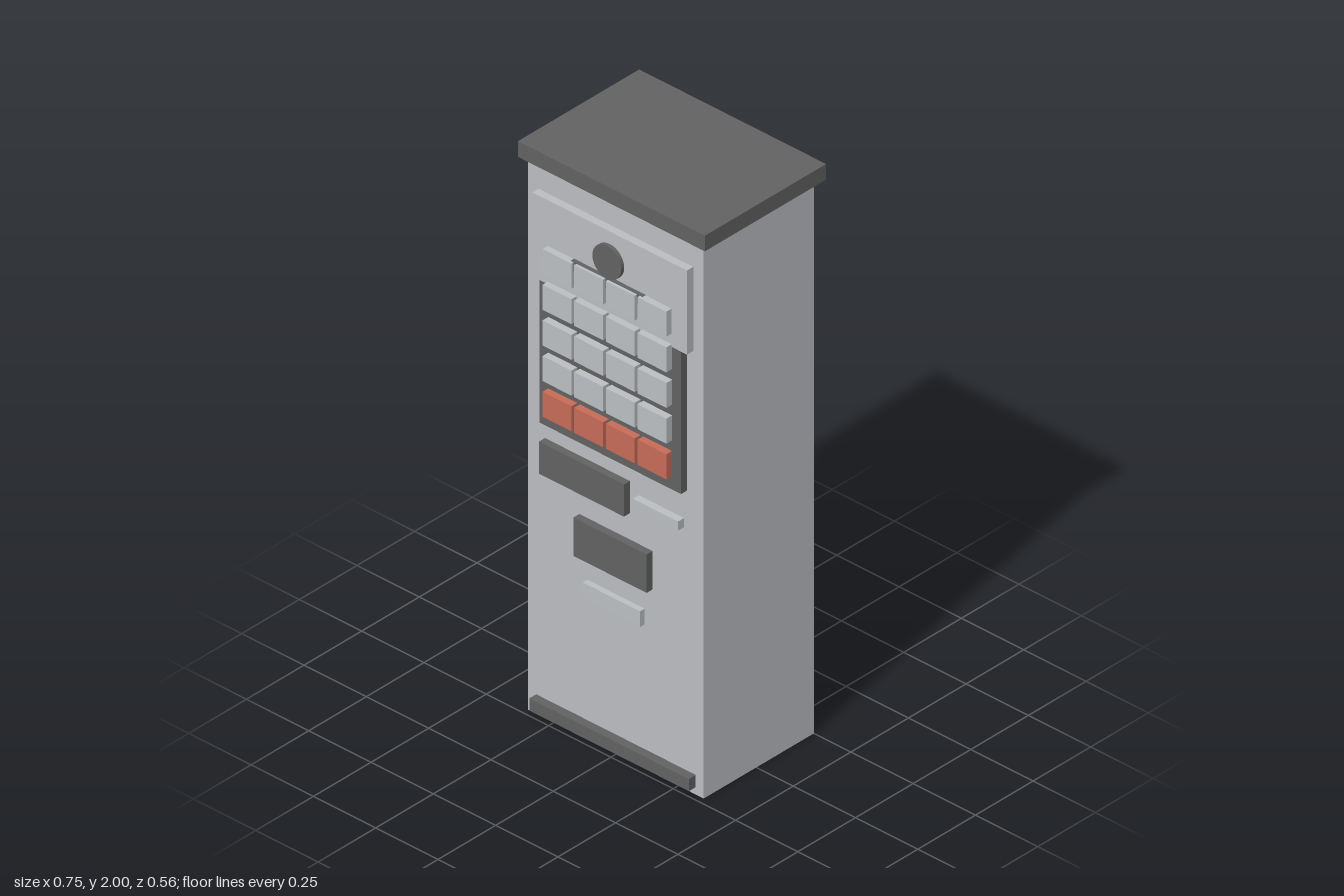
import * as THREE from 'three';

export function createModel() {
  const mat = (name, color) => {
    const m = new THREE.MeshStandardMaterial({ color });
    m.name = name;
    return m;
  };
  const body = mat('cabinetGrey', 0xbcbdc2);
  const pale = mat('buttonGrey', 0xbbc0c2);
  const dark = mat('charcoal', 0x626263);
  const red = mat('brickRed', 0xc66c58);

  const model = new THREE.Group();
  model.name = 'ticketMachine';

  // Box given by its limits on each axis
  const box = (name, material, x0, x1, y0, y1, z0, z1, parent = model) => {
    const mesh = new THREE.Mesh(new THREE.BoxGeometry(x1 - x0, y1 - y0, z1 - z0), material);
    mesh.position.set((x0 + x1) / 2, (y0 + y1) / 2, (z0 + z1) / 2);
    mesh.name = name;
    parent.add(mesh);
    return mesh;
  };

  // Cabinet and overhanging lid
  const front = 0.228;
  box('cabinet', body, -0.352, 0.352, 0, 1.945, -0.251, front);
  box('lid', dark, -0.375, 0.375, 1.945, 2, -0.278, 0.248);

  // Front panels
  box('headPanel', body, -0.31, 0.31, 1.556, 1.852, front, 0.255);
  box('buttonPanel', dark, -0.284, 0.284, 1.053, 1.556, front, 0.253);

  // Round badge plate and the bar below it
  const disc = new THREE.Mesh(new THREE.CylinderGeometry(0.058, 0.058, 0.014, 32), dark);
  disc.rotation.x = Math.PI / 2;
  disc.position.set(0, 1.75, 0.261);
  disc.name = 'roundPlate';
  model.add(disc);
  box('headBar', dark, -0.143, 0.143, 1.655, 1.693, 0.255, 0.268);

  // Selection buttons, bottom row in red
  const buttons = new THREE.Group();
  buttons.name = 'buttons';
  model.add(buttons);
  for (let row = 0; row < 5; row++) {
    for (let col = 0; col < 4; col++) {
      const x = (col - 1.5) * 0.127;
      const y = 1.647 - row * 0.1255;
      box('button', row === 4 ? red : pale, x - 0.058, x + 0.058, y - 0.044, y + 0.044, 0.25, 0.278, buttons);
    }
  }

  // Slots and trays
  box('displayWindow', dark, -0.285, 0.056, 0.873, 0.986, front, 0.254);
  box('coinSlot', pale, 0.092, 0.273, 0.92, 0.952, front, 0.254);
  box('dispenserTray', dark, -0.147, 0.147, 0.645, 0.78, front, 0.254);
  box('changeTray', pale, -0.115, 0.115, 0.508, 0.563, front, 0.248);
  box('kickStrip', dark, -0.32, 0.32, 0.026, 0.069, front, 0.258);

  return model;
}
